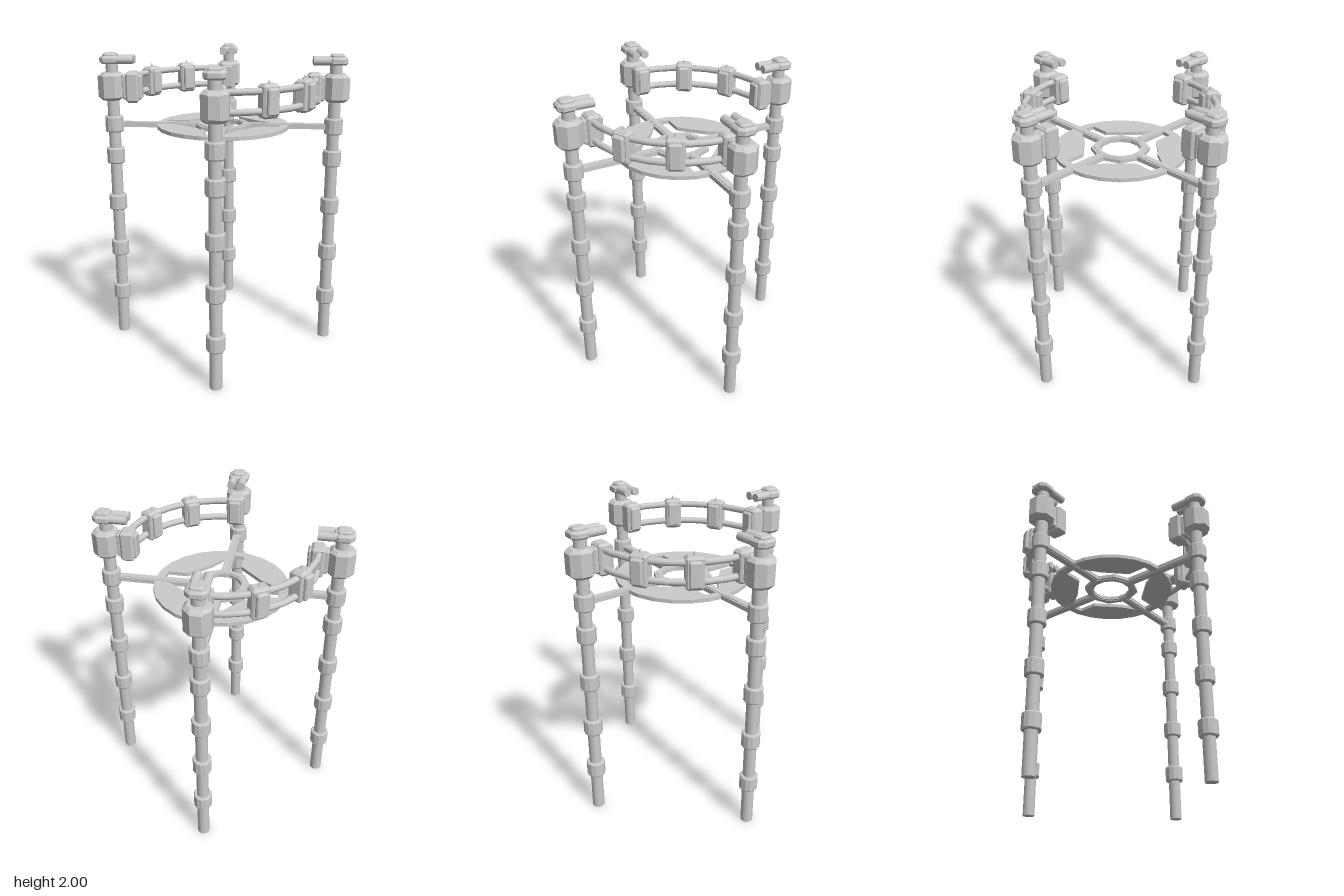
import * as THREE from 'three';

const mat = new THREE.MeshStandardMaterial({ color: 0xcccccc, flatShading: true });
const smooth = new THREE.MeshStandardMaterial({ color: 0xcccccc });

function add(parent, name, geo, x = 0, y = 0, z = 0, m = mat) {
  const mesh = new THREE.Mesh(geo, m);
  mesh.name = name;
  mesh.position.set(x, y, z);
  parent.add(mesh);
  return mesh;
}

function shapeOf(points) {
  return new THREE.Shape(points.map(p => new THREE.Vector2(p[0], p[1])));
}

// Horizontal slab: plan shape pushed up, centred on y = 0, with bevelled rims
function slab(shape, h, bevel = 0) {
  const g = new THREE.ExtrudeGeometry(shape, {
    depth: h - 2 * bevel, bevelEnabled: bevel > 0, bevelThickness: bevel,
    bevelSize: bevel, bevelOffset: -bevel, bevelSegments: 1, curveSegments: 24,
  });
  g.rotateX(-Math.PI / 2);
  g.translate(0, -h / 2 + bevel, 0);
  return g;
}

// Box with cut vertical corners and chamfered top and bottom
function chamferBox(w, h, d, c, bevel) {
  const a = w / 2, b = d / 2;
  return slab(shapeOf([[-a + c, -b], [a - c, -b], [a, -b + c], [a, b - c],
    [a - c, b], [-a + c, b], [-a, b - c], [-a, -b + c]]), h, bevel);
}

// Group whose local +x points outward at the given angle
function radial(parent, name, angle) {
  const g = new THREE.Group();
  g.name = name;
  g.rotation.y = -angle;
  parent.add(g);
  return g;
}

// Clamp that holds both rails
function railBracket(parent, angle, knob) {
  const g = radial(parent, 'railBracket', angle);
  add(g, 'bracketBody', chamferBox(0.085, 0.2, 0.11, 0.012, 0.015), 0.5925, 1.78);
  add(g, 'bracketOuterPlate', chamferBox(0.04, 0.16, 0.075, 0.008, 0.01), 0.64, 1.78);
  add(g, 'bracketInnerPlate', chamferBox(0.03, 0.16, 0.075, 0.008, 0.01), 0.545, 1.78);
  if (knob) add(g, 'bracketKnob', new THREE.ConeGeometry(0.014, 0.03, 4), 0.59, 1.89);
}

// Post with collars, clamp and twin-barrel head
function post(parent, angle) {
  const g = radial(parent, 'post', angle), r = 0.728;
  add(g, 'pole', new THREE.CylinderGeometry(0.04, 0.04, 1.95, 16), r, 0.975, 0, smooth);
  for (const y of [0.32, 0.655, 0.99, 1.32, 1.535]) {
    const profile = [[0.038, -0.053], [0.055, -0.053], [0.061, -0.045], [0.061, 0.045],
      [0.055, 0.053], [0.038, 0.053]].map(p => new THREE.Vector2(...p));
    add(g, 'collar', new THREE.LatheGeometry(profile, 12), r, y);
  }
  add(g, 'postClamp', chamferBox(0.15, 0.18, 0.16, 0.04, 0.02), 0.735, 1.785);
  add(g, 'clampOuterPlate', chamferBox(0.03, 0.15, 0.08, 0.008, 0.01), 0.803, 1.785);
  add(g, 'clampLink', new THREE.BoxGeometry(0.06, 0.12, 0.07), 0.65, 1.78);
  add(g, 'headBody', chamferBox(0.13, 0.05, 0.13, 0.03, 0.012), 0.735, 1.957);
  add(g, 'headCap', chamferBox(0.09, 0.035, 0.085, 0.015, 0.01), 0.735, 1.9825);
  for (const s of [-1, 1]) {
    const barrel = new THREE.CylinderGeometry(0.027, 0.027, 0.13, 12).rotateZ(Math.PI / 2);
    add(g, 'headBarrel', barrel, 0.645, 1.957, s * 0.032, smooth);
  }
}

// Rim disc with four inward trapezoid panels
function platform(parent) {
  const outline = [], inner = [];
  for (let i = 0; i < 24; i++) {
    const a = i / 24 * Math.PI * 2;
    outline.push([0.435 * Math.cos(a), 0.435 * Math.sin(a)]);
  }
  for (let q = 0; q < 4; q++) {
    const c = Math.cos(q * Math.PI / 2), s = Math.sin(q * Math.PI / 2);
    for (const [x, y] of [[0.237, -0.1], [0.237, 0.1], [0.33, 0.19], [0.27, 0.27]])
      inner.push([x * c - y * s, x * s + y * c]);
  }
  const shape = shapeOf(outline);
  shape.holes.push(shapeOf(inner));
  add(parent, 'platformDisc', slab(shape, 0.024), 0, 1.532);

  // Open hub, stepped in height
  for (const [ro, ri, h] of [[0.19, 0.13, 0.024], [0.172, 0.14, 0.034]]) {
    const ring = (r, n) => Array.from({ length: n }, (_, i) =>
      [r * Math.cos(i / n * Math.PI * 2), r * Math.sin(i / n * Math.PI * 2)]);
    const hub = shapeOf(ring(ro, 8));
    hub.holes.push(shapeOf(ring(ri, 12)));
    add(parent, 'hubRing', slab(hub, h), 0, 1.532);
  }
}

export function createModel() {
  const model = new THREE.Group();
  model.name = 'scannerFrame';
  platform(model);

  // Posts with the arms that carry the platform
  for (let i = 0; i < 4; i++) {
    const a = Math.PI / 4 + i * Math.PI / 2;
    post(model, a);
    railBracket(model, a, false);
    const arm = radial(model, 'arm', a);
    add(arm, 'armBeam', new THREE.BoxGeometry(0.54, 0.028, 0.058), 0.44, 1.532);
    add(arm, 'armRidge', new THREE.BoxGeometry(0.54, 0.036, 0.034), 0.44, 1.532);
  }

  // Curved double rails on the left and right sides
  for (const side of [0, Math.PI]) {
    const g = radial(model, 'sideRails', side);
    for (const y of [1.723, 1.84]) {
      const rail = new THREE.TorusGeometry(0.6, 0.021, 10, 8, Math.PI / 2);
      rail.rotateZ(-Math.PI / 4).rotateX(Math.PI / 2);
      add(g, 'rail', rail, 0, y, 0, smooth);
    }
    for (const s of [-1, 1]) railBracket(g, s * Math.PI / 12, true);
  }
  return model;
}
